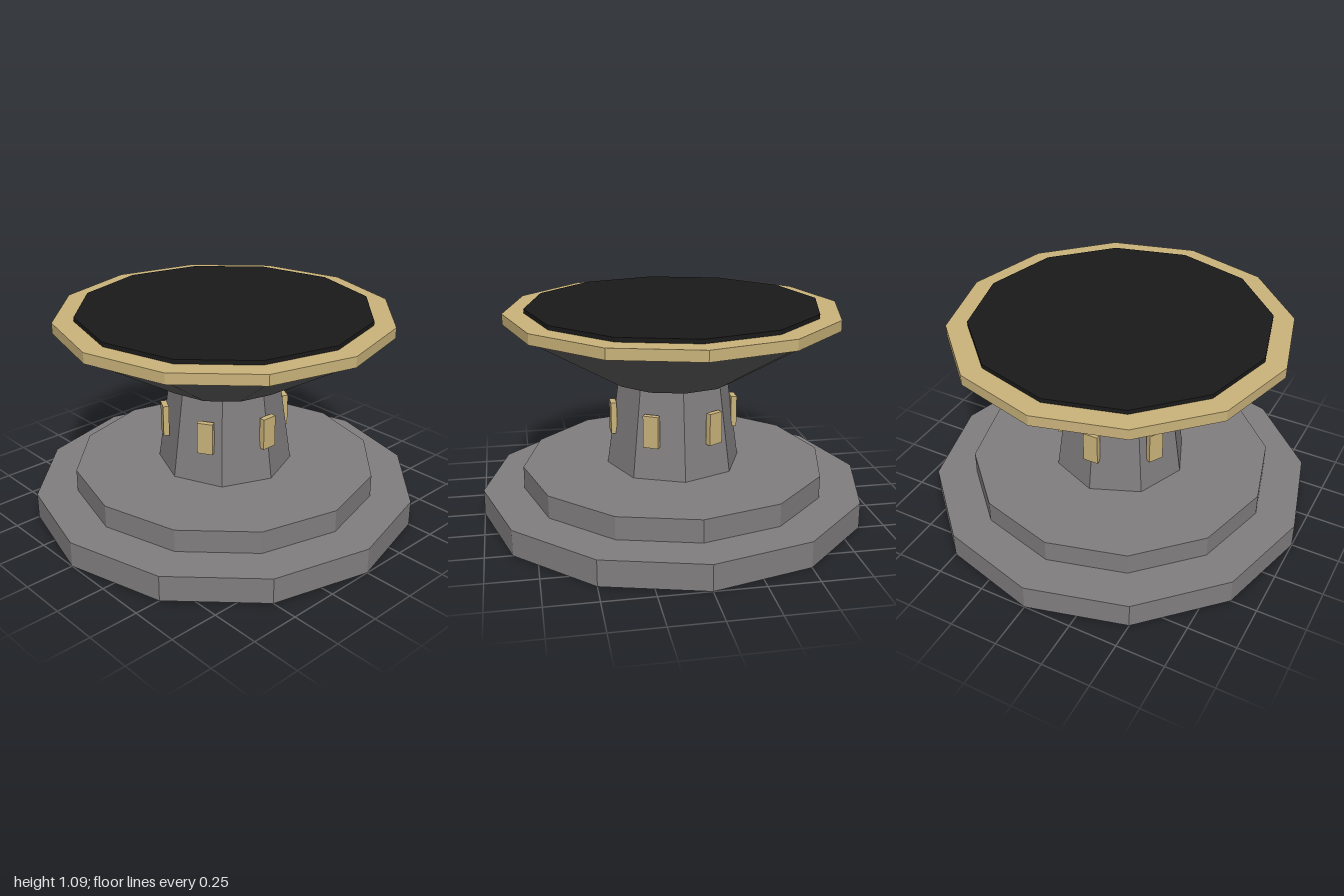
import * as THREE from 'three';

const flat = (name, color) => {
  const m = new THREE.MeshStandardMaterial({ color, flatShading: true });
  m.name = name;
  return m;
};

export function createModel() {
  const stone = flat('stone grey', 0x817e7f);
  const slate = flat('slate grey', 0x626162);
  const gold = flat('dull gold', 0xcab37b);
  const black = flat('black', 0x1a1a1a);

  const group = new THREE.Group();
  group.name = 'pedestal';

  // Faceted drum between two heights
  const drum = (name, material, rBottom, rTop, y0, y1, sides = 12) => {
    const mesh = new THREE.Mesh(new THREE.CylinderGeometry(rTop, rBottom, y1 - y0, sides), material);
    mesh.position.y = (y0 + y1) / 2;
    mesh.name = name;
    group.add(mesh);
  };

  // Stepped base and tapered column
  drum('baseSlab', stone, 1, 1, 0, 0.133);
  drum('baseStep', stone, 0.79, 0.79, 0.133, 0.25);
  drum('column', stone, 0.35, 0.283, 0.25, 0.715, 8);

  // Flared bowl, rim and dark top
  drum('bowl', slate, 0.335, 0.835, 0.71, 1.01);
  drum('rim', gold, 0.857, 0.857, 1.01, 1.064);
  drum('topDisc', black, 0.75, 0.75, 1.064, 1.085);

  // Six plates around the column
  const plate = new THREE.BoxGeometry(0.03, 0.165, 0.08);
  for (let i = 0; i < 6; i++) {
    const a = (i * Math.PI) / 3;
    const mesh = new THREE.Mesh(plate, gold);
    mesh.position.set(Math.cos(a) * 0.317, 0.502, Math.sin(a) * 0.317);
    mesh.rotation.y = -a;
    mesh.name = 'columnPlate';
    group.add(mesh);
  }
  return group;
}
